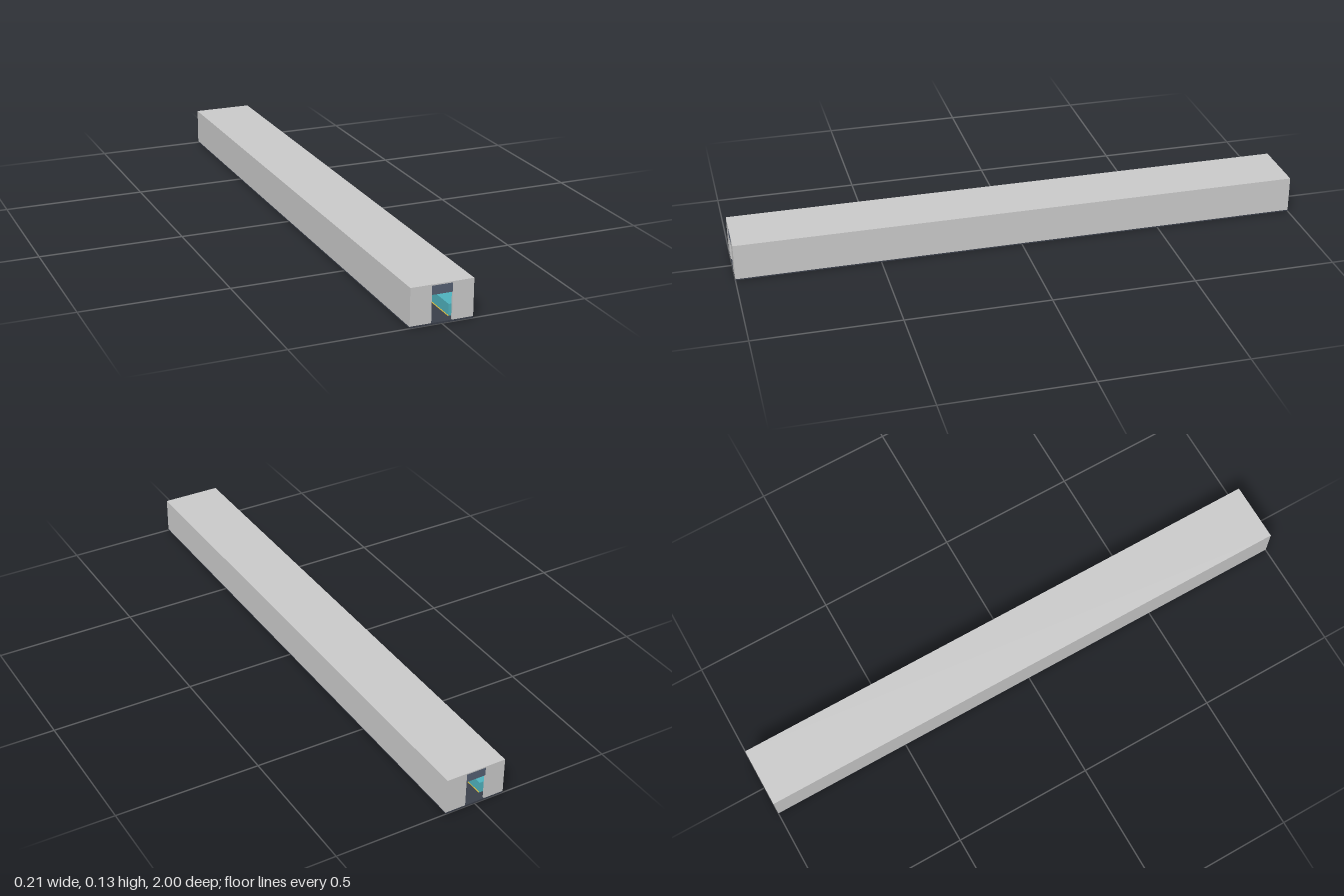
import * as THREE from 'three';

const mat = (color, extra = {}) => new THREE.MeshStandardMaterial({ color, ...extra });
const GREY = mat(0xcccccc), DARK = mat(0x3a3f4a), SLATE = mat(0x566073);
const TEAL = mat(0x4fb3bf), YELLOW = mat(0xe0c040), BROWN = mat(0x8a5a3c);

// Box given by its minimum and maximum corners
function block(parent, name, material, [x0, y0, z0], [x1, y1, z1]) {
  const mesh = new THREE.Mesh(new THREE.BoxGeometry(x1 - x0, y1 - y0, z1 - z0), material);
  mesh.position.set((x0 + x1) / 2, (y0 + y1) / 2, (z0 + z1) / 2);
  mesh.name = name;
  parent.add(mesh);
  return mesh;
}

// Same box on the left (+x) and right (-x)
function pair(parent, name, material, [x0, y0, z0], [x1, y1, z1]) {
  block(parent, name + 'Left', material, [x0, y0, z0], [x1, y1, z1]);
  block(parent, name + 'Right', material, [-x1, y0, z0], [-x0, y1, z1]);
}

export function createModel() {
  const model = new THREE.Group();
  model.name = 'corridorCar';
  const W = 0.107, FLOOR = 0.006, EAVE = 0.128, TOP = 0.132, DOOR = 0.035;

  // Shell: floor slab, roof slab and long side walls
  block(model, 'floor', DARK, [-0.106, 0, -1], [0.106, FLOOR, 1]);
  block(model, 'roof', GREY, [-W, EAVE, -1], [W, TOP, 1]);
  pair(model, 'sideWall', GREY, [0.1035, FLOOR - 0.001, -1], [W, EAVE, 1]);

  // End walls with an open doorway under a dark lintel
  for (const [name, z] of [['front', 0.997], ['back', -0.997]]) {
    const end = new THREE.Group();
    end.name = name + 'End';
    end.position.z = z;
    pair(end, 'endPanel', GREY, [DOOR, FLOOR, -0.003], [0.1035, EAVE, 0.003]);
    block(end, 'lintel', SLATE, [-DOOR, 0.098, -0.003], [DOOR, EAVE, 0.003]);
    model.add(end);
  }

  // Interior: long benches, floor edge lines, handrails and ceiling panel
  const L = 0.97;
  pair(model, 'bench', TEAL, [0.038, FLOOR, -L], [0.1035, 0.045, L]);
  pair(model, 'edgeLine', YELLOW, [0.0355, FLOOR, -L], [0.038, 0.008, L]);
  pair(model, 'handrail', BROWN, [0.098, 0.075, -L], [0.1035, 0.079, L]);
  block(model, 'ceilingPanel', SLATE, [-0.03, 0.124, -L], [0.03, EAVE, L]);

  return model;
}
